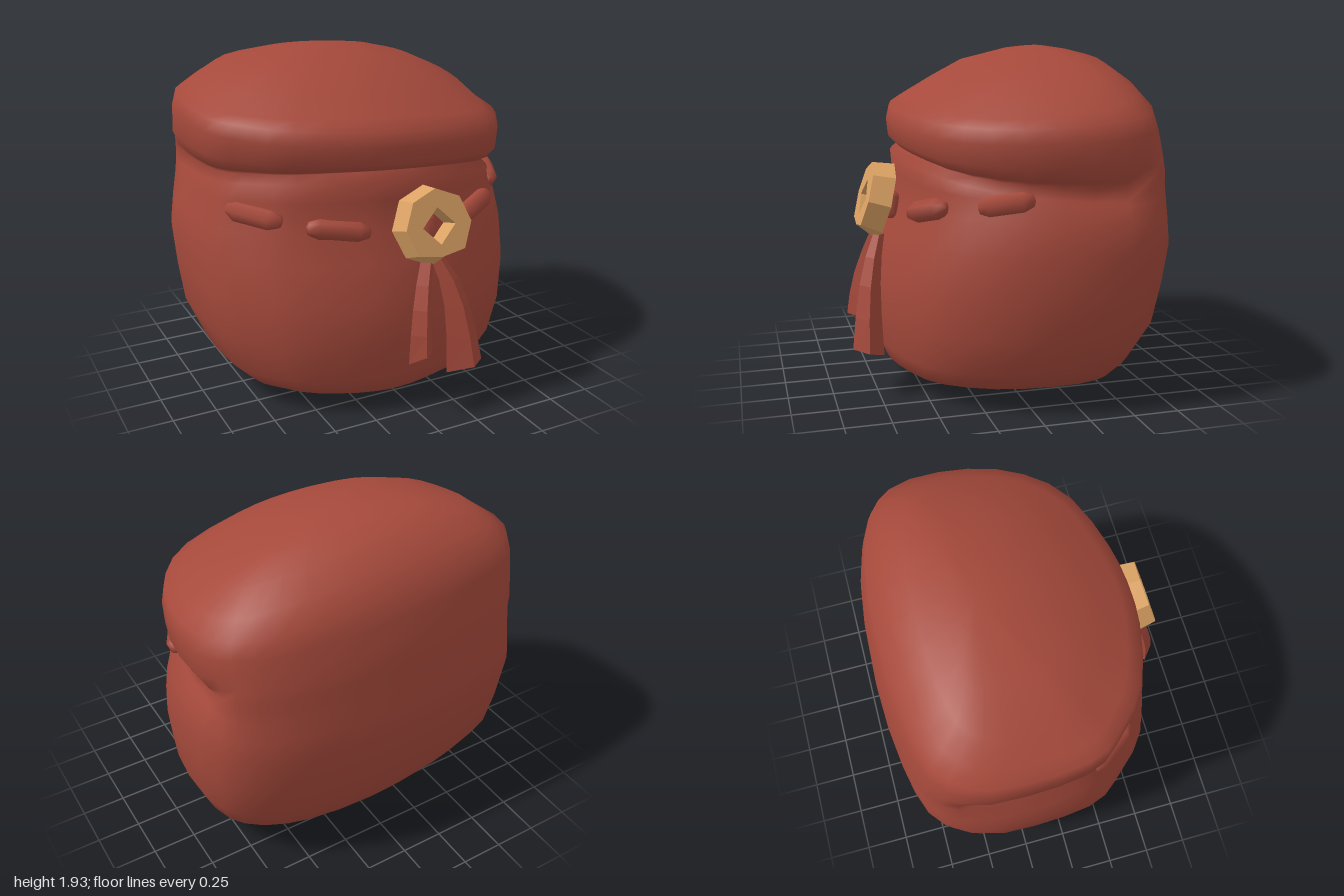
import * as THREE from 'three';

const red = new THREE.MeshStandardMaterial({ color: 0xa5493b });
red.name = 'redCloth';
const gold = new THREE.MeshStandardMaterial({ color: 0xdba263 });
gold.name = 'goldMetal';

const { lerp, smoothstep } = THREE.MathUtils;
const V = (x, y, z) => new THREE.Vector3(x, y, z);

function addMesh(parent, name, geometry, material) {
  const mesh = new THREE.Mesh(geometry, material);
  mesh.name = name;
  parent.add(mesh);
  return mesh;
}

// Joins rings of equal length into a closed skin; rings run clockwise seen from above, going up.
function loft(rings, bottom, top) {
  const n = rings[0].length, pos = [], index = [];
  rings.forEach((r) => r.forEach((p) => pos.push(p.x, p.y, p.z)));
  const b = rings.length * n, t = b + 1, last = (rings.length - 1) * n;
  pos.push(...bottom.toArray(), ...top.toArray());
  for (let j = 0; j < n; j++) {
    const k = (j + 1) % n;
    for (let i = 0; i < rings.length - 1; i++) {
      const a = i * n + j, c = i * n + k;
      index.push(a, a + n, c, c, a + n, c + n);
    }
    index.push(b, j, k, t, last + k, last + j);
  }
  const g = new THREE.BufferGeometry();
  g.setAttribute('position', new THREE.Float32BufferAttribute(pos, 3));
  g.setIndex(index);
  g.computeVertexNormals();
  return g;
}

// Plan outline of the pouch: broad flat back, tapering rounded front (x, z in -1..1).
const outline = new THREE.CatmullRomCurve3([
  [0, -1], [0.54, -0.94], [0.83, -0.8], [0.97, -0.58], [1, -0.08], [0.9, 0.4], [0.67, 0.76], [0.28, 0.95],
  [0, 1], [-0.25, 0.98], [-0.65, 0.81], [-0.84, 0.58], [-0.95, 0.4], [-1, -0.05], [-0.97, -0.57], [-0.83, -0.82], [-0.53, -0.94],
].map(([x, z]) => V(x, 0, z)), true).getPoints(36).slice(0, 36);

// Pouch and flap in one skin: [front y, back y, half width, front z, back z, recess, side dip]
const LEVELS = [
  [0.03, 0.03, 0.4, 0.37, -0.4, 0, 0],
  [0.07, 0.07, 0.62, 0.59, -0.56, 0, 0],
  [0.12, 0.12, 0.78, 0.65, -0.63, 0, 0],
  [0.22, 0.22, 0.88, 0.69, -0.7, 0, 0],
  [0.43, 0.43, 0.965, 0.715, -0.82, 0, 0],
  [0.66, 0.66, 0.99, 0.715, -0.87, 0, 0],
  [0.88, 0.88, 1, 0.65, -0.9, 0, 0],
  [1.05, 1.02, 0.98, 0.6, -0.89, 0.01, 0],
  [1.2, 1.13, 0.965, 0.58, -0.88, 0.04, 0.01],
  [1.31, 1.21, 0.96, 0.59, -0.873, 0.05, 0.05],
  [1.35, 1.29, 0.96, 0.53, -0.867, 0.08, 0.06],
  [1.36, 1.36, 0.96, 0.56, -0.858, 0.04, 0.06],
  [1.4, 1.44, 0.965, 0.6, -0.845, 0, 0.04],
  [1.49, 1.55, 0.965, 0.608, -0.82, 0, 0.01],
  [1.57, 1.67, 0.945, 0.59, -0.79, 0, 0.03],
  [1.63, 1.79, 0.87, 0.51, -0.7, 0, 0.08],
  [1.72, 1.88, 0.75, 0.36, -0.57, 0, 0.07],
  [1.83, 1.91, 0.5, 0.17, -0.44, 0, 0.03],
  [1.89, 1.92, 0.25, -0.05, -0.36, 0, 0],
];

function pouchGeometry() {
  const rings = LEVELS.map(([yf, yb, w, zf, zb, recess, dip]) => outline.map((o) => {
    const z = (zf + zb) / 2 + o.z * (zf - zb) / 2;
    // The fold under the flap fades out before the back, where the cloth is smooth
    const fold = yf > 1.5 ? 1 : smoothstep(z, -0.66, -0.46);
    const x = o.x * (w - recess * fold);
    const tilt = 0.068 * lerp(smoothstep(yb, 0.8, 1.75), smoothstep(yf, 1.05, 1.35), fold);
    const y = lerp(yb, yf, (o.z + 1) / 2) - tilt * x - dip * fold * o.x * o.x;
    return V(x, y, z);
  }));
  return loft(rings, V(0, 0, -0.1), V(0, 1.93, -0.24));
}

// Rounded six-sided stitch lying between two points
const stitchProfile = [[0, -1], [0.6, -0.93], [1, -0.6], [1, 0.6], [0.6, 0.93], [0, 1]]
  .map(([x, y]) => new THREE.Vector2(x, y));
function addStitch(parent, a, b, radius, name = 'stitch') {
  const mesh = addMesh(parent, name, new THREE.LatheGeometry(stitchProfile, 6), red);
  const d = b.clone().sub(a);
  mesh.scale.set(radius, d.length() / 2, radius);
  mesh.position.copy(a).add(b).multiplyScalar(0.5);
  mesh.quaternion.setFromUnitVectors(V(0, 1, 0), d.normalize());
}

// Four-sided ribbon that widens along its path (path runs from the tip up)
function tasselGeometry(points, wide, narrow) {
  const path = new THREE.CatmullRomCurve3(points);
  const rings = [];
  for (let i = 0; i <= 4; i++) {
    const p = path.getPoint(i / 4), r = lerp(wide, narrow, i / 4);
    rings.push([[0, -1], [1, 0.1], [0.1, 1], [-1, -0.1]].map(([x, z]) =>
      V(p.x + x * r, p.y + (i ? 0 : 0.025 * z + 0.02 * x), p.z + z * r * 0.8)));
  }
  const flat = loft(rings, points[0], points[points.length - 1]).toNonIndexed();
  flat.computeVertexNormals();
  return flat;
}

// Octagonal coin with a diamond hole, wider at the back and chopped at the front bottom
function coinGeometry() {
  const ring = (n, r) => Array.from({ length: n }, (_, i) => {
    const a = Math.PI / 2 + (i / n) * Math.PI * 2;
    return new THREE.Vector2(Math.cos(a) * r, Math.sin(a) * r);
  });
  const shape = new THREE.Shape(ring(8, 0.22));
  shape.holes.push(new THREE.Path(ring(4, 0.1)));
  const g = new THREE.ExtrudeGeometry(shape, { depth: 0.125, bevelEnabled: false });
  const p = g.attributes.position;
  for (let i = 0; i < p.count; i++) {
    if (p.getZ(i) > 0.06 && Math.hypot(p.getX(i), p.getY(i)) > 0.15) {
      p.setXY(i, p.getX(i) * 0.91, Math.max(p.getY(i) * 0.91, -0.165));
    }
  }
  g.translate(0, 0, -0.0625);
  g.computeVertexNormals();
  return g;
}

export function createModel() {
  const model = new THREE.Group();
  model.name = 'pouch';

  addMesh(model, 'pouchBodyAndFlap', pouchGeometry(), red);

  // Drawstring showing as stitches around the neck
  const cord = new THREE.Group();
  cord.name = 'drawstring';
  model.add(cord);
  addStitch(cord, V(-0.86, 1.15, 0.16), V(-0.65, 1.12, 0.44), 0.06);
  addStitch(cord, V(-0.54, 1.09, 0.49), V(-0.2, 1.04, 0.59), 0.06);
  addStitch(cord, V(0.36, 1.03, 0.57), V(0.64, 1.1, 0.43), 0.06);
  addStitch(cord, V(0.75, 1.11, 0.29), V(0.88, 1.16, 0.02), 0.06);
  addStitch(cord, V(0.1, 0.96, 0.65), V(0.1, 1.12, 0.63), 0.06, 'knot');

  // Coin clasp leaning back against the pouch
  const coin = addMesh(model, 'coin', coinGeometry(), gold);
  coin.position.set(0.1, 1.075, 0.725);
  coin.rotation.x = -0.27;

  // Two hanging tassel ends
  addMesh(model, 'tasselRight', tasselGeometry(
    [V(-0.02, 0.36, 0.825), V(-0.01, 0.55, 0.81), V(0.02, 0.72, 0.77), V(0.07, 0.88, 0.72)], 0.07, 0.04), red);
  addMesh(model, 'tasselLeft', tasselGeometry(
    [V(0.28, 0.235, 0.8), V(0.25, 0.5, 0.79), V(0.205, 0.72, 0.76), V(0.14, 0.88, 0.71)], 0.11, 0.04), red);

  return model;
}
